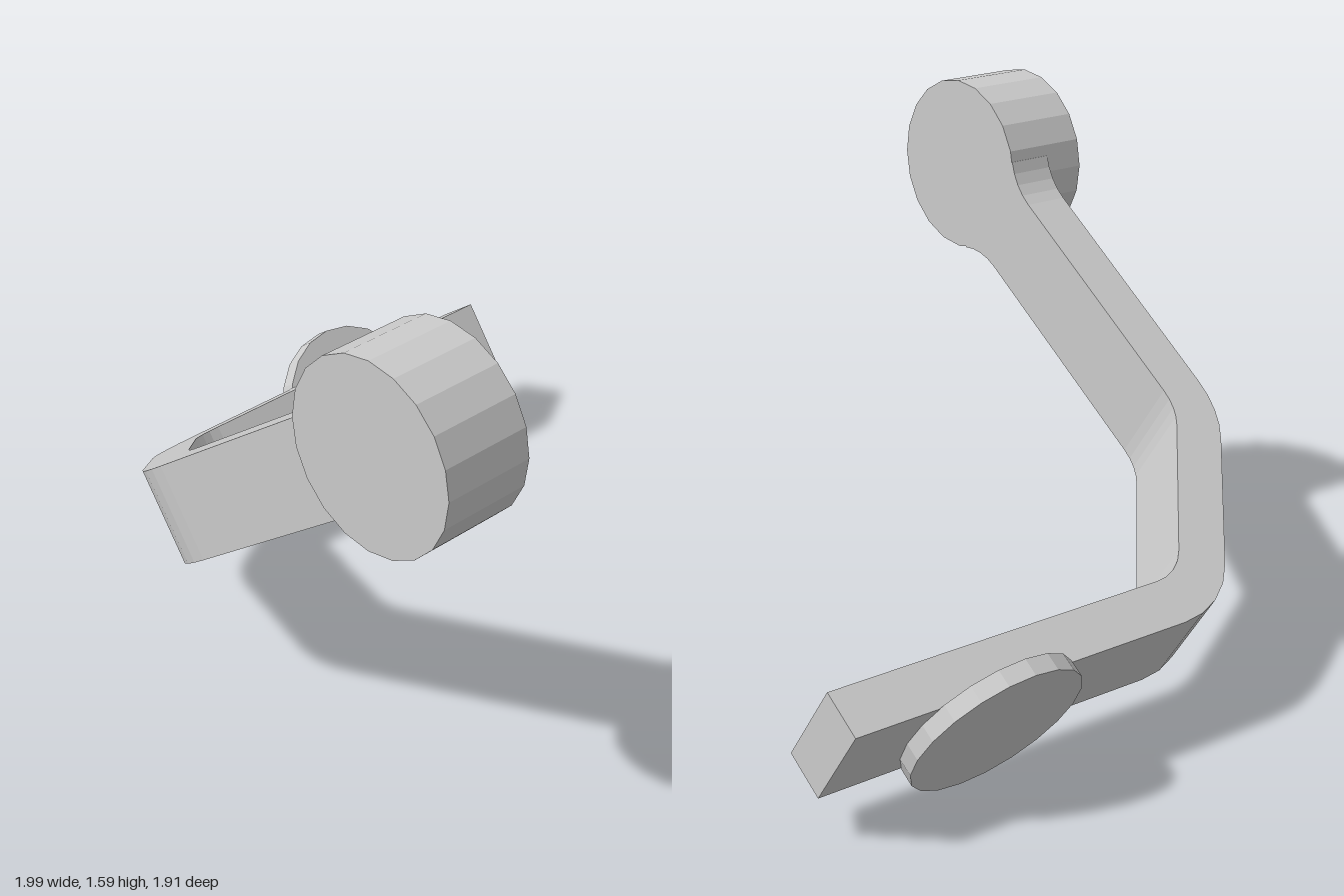
import * as THREE from 'three';

const TILT = THREE.MathUtils.degToRad(35);
const HALF_W = 0.147;   // half width of the strap
const THICK = 0.147;    // strap thickness
const HEAD_R = 0.276;
const LENGTH = 1.852;   // strap's outer face to head centre
const SIDES = 20;

const material = new THREE.MeshStandardMaterial({ color: 0xcccccc, flatShading: true });

function addPart(group, name, geometry) {
  const mesh = new THREE.Mesh(geometry, material);
  mesh.name = name;
  group.add(mesh);
  return mesh;
}

// Twice-bent strap: side profile (along the strap, z), extruded across its width
function strapGeometry() {
  const bends = [
    { x: 0.32, z: 0.2, r: 0.32, from: Math.PI, to: 2.206 },
    { x: 0.74, z: 0.46, r: 0.36, from: 2.206, to: Math.PI / 2 },
  ];
  const side = (inset) => {
    const pts = [];
    for (const b of bends) {
      for (let i = 0; i <= 4; i++) {
        const a = b.from + (b.to - b.from) * i / 4;
        const r = b.r - inset;
        pts.push(new THREE.Vector2(b.x + r * Math.cos(a), b.z + r * Math.sin(a)));
      }
    }
    const end = LENGTH - 0.324;
    return [new THREE.Vector2(inset, -0.955), ...pts, new THREE.Vector2(end, 0.82 - inset)];
  };
  const shape = new THREE.Shape([...side(0), ...side(THICK).reverse()]);
  return new THREE.ExtrudeGeometry(shape, { depth: 2 * HALF_W, bevelEnabled: false })
    .translate(-LENGTH, 0, -HALF_W)
    .rotateX(Math.PI / 2);
}

// Flared neck that blends the strap into the round head
function neckGeometry() {
  const r = 0.2;
  const cy = HALF_W + r;
  const cx = -Math.sqrt((HEAD_R + r) ** 2 - cy ** 2);
  const stop = Math.atan2(-cy, -cx);
  const upper = [];
  for (let i = 0; i <= 4; i++) {
    const a = -Math.PI / 2 + (stop + Math.PI / 2) * i / 4;
    upper.push(new THREE.Vector2(cx + r * Math.cos(a), cy + r * Math.sin(a)));
  }
  const lower = upper.map((p) => new THREE.Vector2(p.x, -p.y)).reverse();
  const shape = new THREE.Shape([...upper, new THREE.Vector2(0, 0), ...lower]);
  return new THREE.ExtrudeGeometry(shape, { depth: THICK, bevelEnabled: false })
    .translate(0, 0, 0.82 - THICK);
}

export function createModel() {
  const model = new THREE.Group();
  model.name = 'crankArm';

  // Everything is laid out along the tilted strap, with the head at the origin
  const arm = new THREE.Group();
  arm.name = 'tiltedArm';
  arm.position.set(0.724, 1.325, 0);
  arm.rotation.z = TILT;
  model.add(arm);

  addPart(arm, 'bentStrap', strapGeometry());
  addPart(arm, 'neck', neckGeometry());

  // Thick round head, flush with the back of the strap
  const depth = 0.955 - 0.673;
  const head = new THREE.CylinderGeometry(HEAD_R, HEAD_R, depth, SIDES)
    .rotateX(Math.PI / 2)
    .rotateZ(Math.PI / 2);
  addPart(arm, 'roundHead', head).position.z = 0.673 + depth / 2;

  // Thin disc on the outer face of the strap's far leg
  const disc = new THREE.CylinderGeometry(0.272, 0.272, 0.055, SIDES)
    .rotateZ(Math.PI / 2);
  addPart(arm, 'sideDisc', disc).position.set(-LENGTH - 0.0265, 0, -0.453);

  return model;
}
